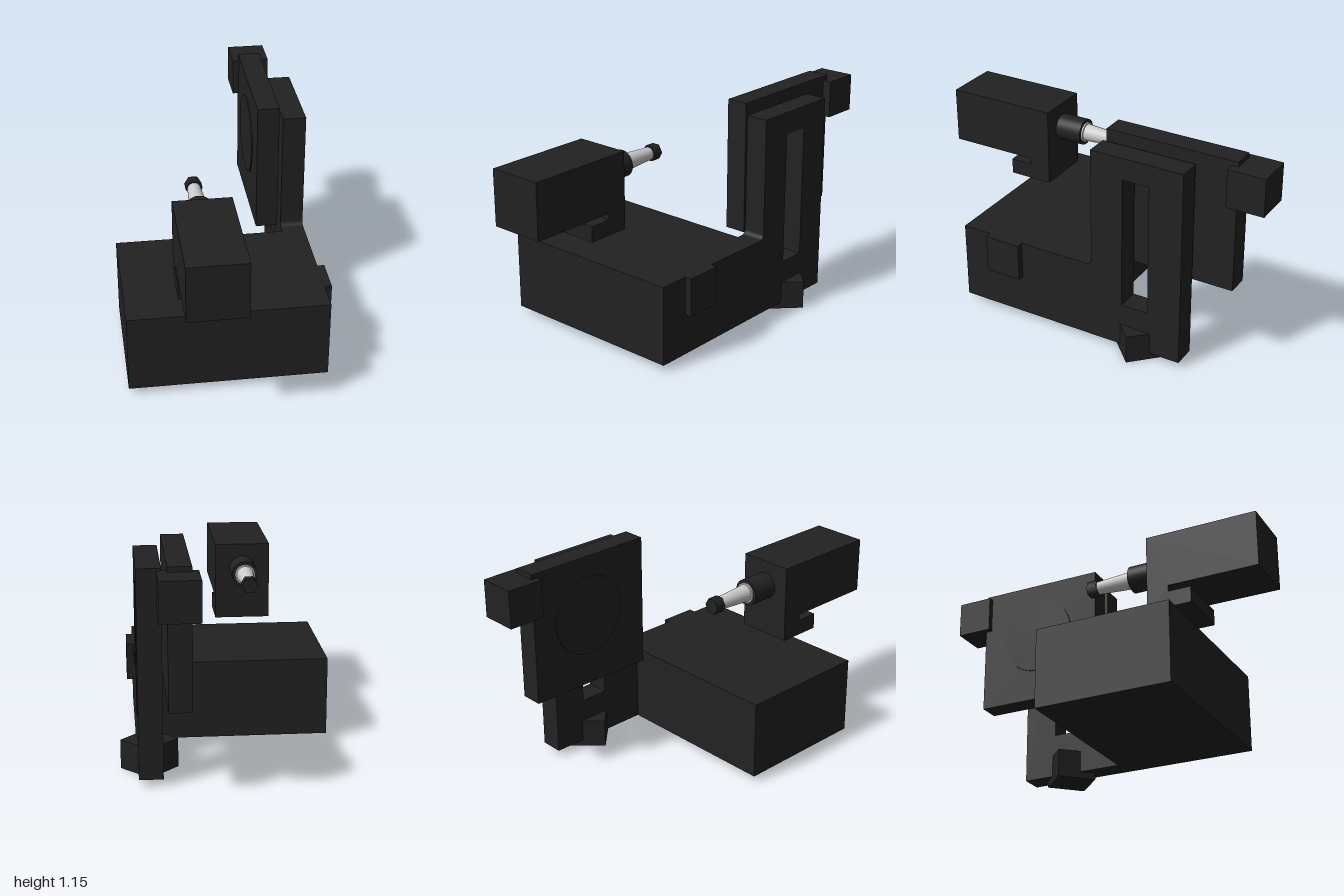
import * as THREE from 'three';

export function createModel() {
  const model = new THREE.Group();
  const dark = new THREE.MeshStandardMaterial({ color: 0x222222 });
  const grey = new THREE.MeshStandardMaterial({ color: 0xcccccc });

  const add = (name, geometry, material = dark) => {
    const mesh = new THREE.Mesh(geometry, material);
    mesh.name = name;
    model.add(mesh);
    return mesh;
  };
  // Box given by its limits on each axis
  const box = (name, [x0, x1], [y0, y1], [z0, z1]) => {
    const g = new THREE.BoxGeometry(x1 - x0, y1 - y0, z1 - z0);
    return add(name, g.translate((x0 + x1) / 2, (y0 + y1) / 2, (z0 + z1) / 2));
  };
  // Side profile drawn with u = -z and v = y, extruded from x0 to x1
  const sideExtrude = (name, shape, x0, x1) => {
    const g = new THREE.ExtrudeGeometry(shape, { depth: x1 - x0, bevelEnabled: false, curveSegments: 8 });
    return add(name, g.rotateY(Math.PI / 2).translate(x0, 0, 0));
  };

  // Base block
  box('base', [-0.55, 0.34], [0.035, 0.45], [-0.07, 0.64]);

  // L-shaped side plate with a filleted inner corner and a through slot
  const plate = new THREE.Shape();
  plate.moveTo(-0.64, 0.035);
  plate.lineTo(0.63, 0.035);
  plate.lineTo(0.63, 1.09);
  plate.lineTo(0.13, 1.09);
  plate.lineTo(0.13, 0.48);
  plate.absarc(0.1, 0.48, 0.03, 0, -Math.PI / 2, true);
  plate.lineTo(-0.64, 0.45);
  plate.closePath();
  plate.holes.push(new THREE.Path([[0.305, 0.27], [0.305, 0.975], [0.45, 0.975], [0.45, 0.27]]
    .map(([u, v]) => new THREE.Vector2(u, v))));
  sideExtrude('sidePlate', plate, 0.34, 0.46);

  // Sliding plate with a round face disc and an end block
  box('slidingPlate', [0.208, 0.323], [0.45, 1.147], [-0.84, -0.14]);
  const disc = add('faceDisc', new THREE.CylinderGeometry(0.21, 0.21, 0.02, 48));
  disc.rotation.z = Math.PI / 2;
  disc.position.set(0.212, 0.83, -0.5);
  box('endBlock', [0.175, 0.37], [0.925, 1.122], [-1, -0.805]);

  // Side button and diagonal foot
  box('sideButton', [0.46, 0.496], [0.25, 0.45], [0.285, 0.48]);
  const foot = add('foot', new THREE.BoxGeometry(0.205, 0.152, 0.205));
  foot.rotation.y = Math.PI / 4;
  foot.position.set(0.4, 0.076, -0.38);

  // Head housing with a hooked bracket underneath
  const head = new THREE.Shape([
    [-1, 0.67], [-0.525, 0.67], [-0.525, 0.637], [-0.645, 0.637],
    [-0.645, 0.553], [-0.41, 0.553], [-0.41, 0.965], [-1, 0.965],
  ].map(([u, v]) => new THREE.Vector2(u, v)));
  sideExtrude('head', head, -0.295, 0);

  // Turned parts along z: radii at the back (low z) and front (high z)
  const turned = (name, rBack, rFront, z0, z1, material, sides = 32, start = 0) => {
    const g = new THREE.CylinderGeometry(rFront, rBack, z1 - z0, sides, 1, false, start);
    return add(name, g.rotateX(Math.PI / 2).translate(-0.148, 0.83, (z0 + z1) / 2), material);
  };
  turned('collar', 0.07, 0.07, 0.265, 0.41, dark);
  turned('spindleFlange', 0.054, 0.054, 0.256, 0.268, grey);
  turned('spindleCone', 0.033, 0.046, 0.06, 0.26, grey);
  turned('spindleNut', 0.044, 0.044, 0.014, 0.07, dark, 6, Math.PI / 6);

  return model;
}
